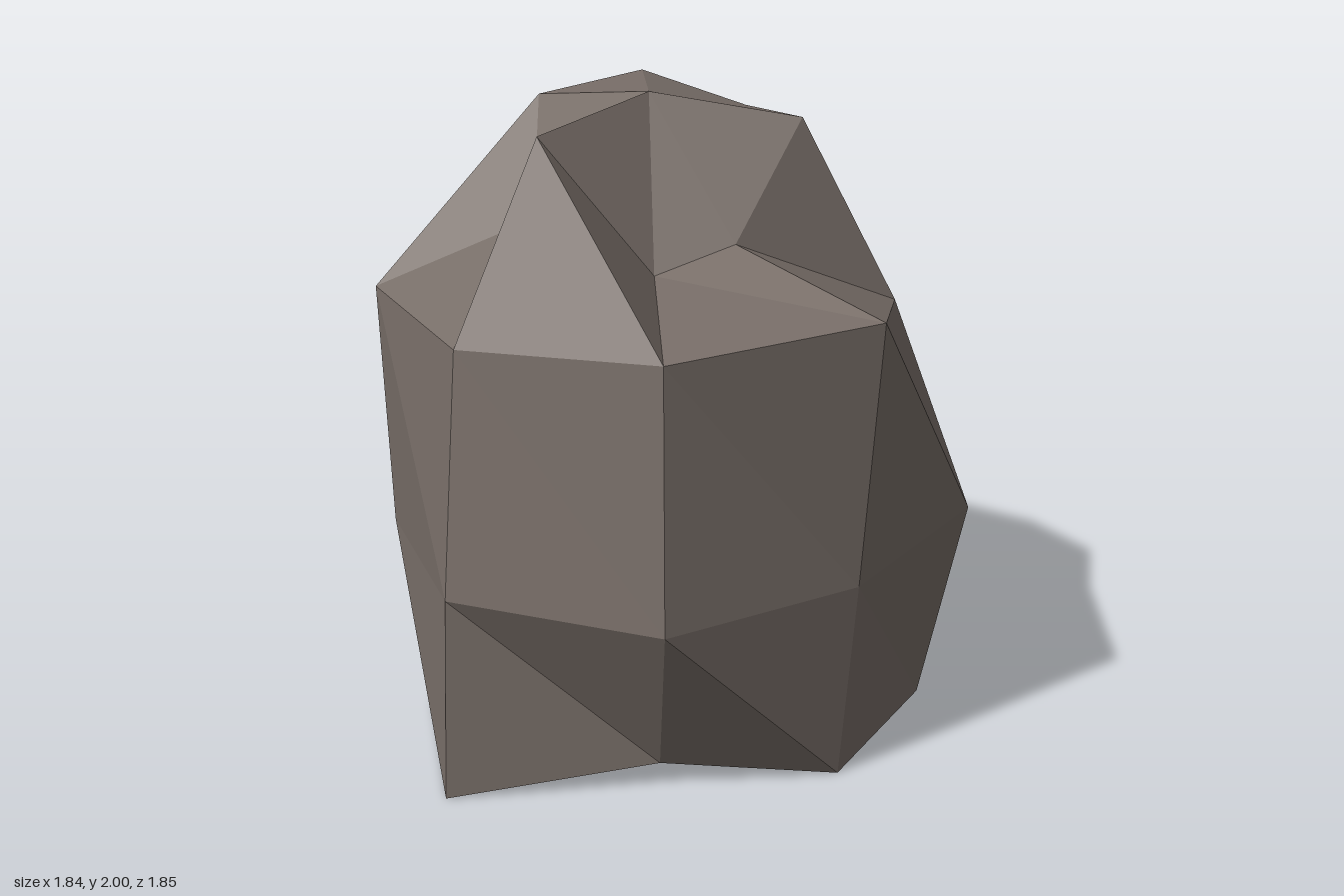
import * as THREE from 'three';

export function createModel() {
  const group = new THREE.Group();
  const stone = new THREE.MeshStandardMaterial({ color: 0x786e68, flatShading: true });
  stone.name = 'warm grey stone';

  const sides = 8, rows = 6, stretch = 1.6, centreX = -0.09, centreY = 0.64, topRadius = 0.85;

  // horizontal radius of each ring from top to bottom, starting at -x and turning through +z
  const rings = [
    [0.35, 0.475, 0.32, 0.345, 0.46, 0.445, 0.473, 0.46],
    [0.83, 0.825, 0.87, 0.91, 0.753, 0.83, 0.71, 0.845],
    [0.797, 0.888, 0.92, 0.835, 1.005, 1.06, 0.925, 0.955],
    [0.70, 0.91, 0.605, 0.77, 0.86, 0.58, 0.60, 0.877],
    [0.35, 0.36, 0.36, 0.36, 0.37, 0.36, 0.34, 0.36],
  ];

  // lumpy sphere with its underside flattened onto the ground
  const geometry = new THREE.SphereGeometry(1, sides, rows);
  const position = geometry.attributes.position;
  for (let i = 0; i < position.count; i++) {
    const row = Math.floor(i / (sides + 1));
    const column = i % (sides + 1) % sides;
    const polar = row * Math.PI / rows;
    const turn = column * 2 * Math.PI / sides;
    const pole = row === 0 || row === rows;
    const radius = pole ? 0 : rings[row - 1][column];
    const rise = pole ? topRadius * Math.cos(polar) : radius / Math.tan(polar);
    position.setXYZ(
      i,
      centreX - radius * Math.cos(turn),
      Math.max(0, centreY + stretch * rise),
      radius * Math.sin(turn)
    );
  }

  // separate facets
  const facets = geometry.toNonIndexed();
  facets.computeVertexNormals();
  const rock = new THREE.Mesh(facets, stone);
  rock.name = 'rock';
  group.add(rock);
  return group;
}
